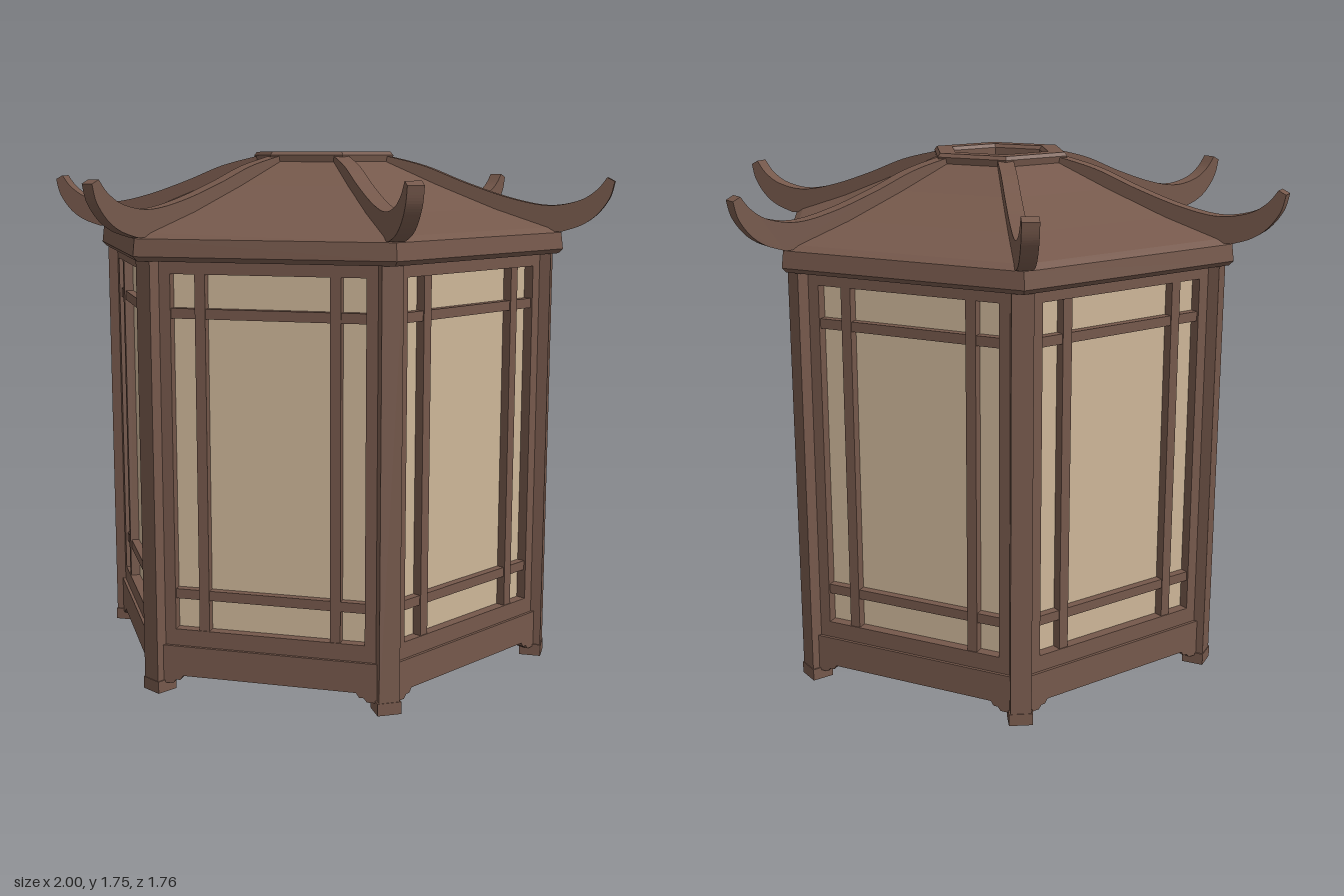
import * as THREE from 'three';

export function createModel() {
  const wood = new THREE.MeshStandardMaterial({ color: 0x75584b });
  wood.name = 'brown wood';
  const paper = new THREE.MeshStandardMaterial({ color: 0xcdb698 });
  paper.name = 'cream paper';

  const lantern = new THREE.Group();
  lantern.name = 'hexagonalLantern';

  const add = (parent, name, geometry, material, x = 0, y = 0, z = 0) => {
    const mesh = new THREE.Mesh(geometry, material);
    mesh.name = name;
    mesh.position.set(x, y, z);
    parent.add(mesh);
    return mesh;
  };
  const vec = ([x, y]) => new THREE.Vector2(x, y);
  // Six-sided ring from a closed counterclockwise profile of [radius, height]
  const hexRing = (profile) => {
    const geo = new THREE.LatheGeometry(profile.map(vec), 6, Math.PI / 2).toNonIndexed();
    geo.computeVertexNormals();
    return geo;
  };
  const extrude = (shape, depth) =>
    new THREE.ExtrudeGeometry(shape, { depth, bevelEnabled: false, curveSegments: 6 });

  // Hollow roof with a thick eave, and the collar round its opening
  add(lantern, 'roof', hexRing([
    [0.70, 1.41], [0.82, 1.41], [0.835, 1.425], [0.828, 1.48], [0.80, 1.497],
    [0.62, 1.557], [0.42, 1.637], [0.23, 1.72], [0.19, 1.70],
    [0.50, 1.57], [0.70, 1.48], [0.70, 1.41],
  ]), wood);
  add(lantern, 'roofCollar', hexRing([
    [0.17, 1.69], [0.24, 1.69], [0.25, 1.735], [0.24, 1.747], [0.18, 1.747], [0.17, 1.735], [0.17, 1.69],
  ]), wood);

  // Roof ridge sweeping out into an upturned horn
  const ridge = new THREE.Shape();
  ridge.moveTo(0.22, 1.735);
  ridge.splineThru([[0.36, 1.70], [0.50, 1.645], [0.65, 1.595], [0.78, 1.57],
    [0.88, 1.585], [0.94, 1.62], [0.975, 1.663]].map(vec));
  ridge.lineTo(1.0, 1.65);
  ridge.splineThru([[0.985, 1.595], [0.945, 1.54], [0.895, 1.505], [0.83, 1.483]].map(vec));
  ridge.lineTo(0.78, 1.485);
  ridge.lineTo(0.60, 1.54);
  ridge.lineTo(0.40, 1.625);
  ridge.lineTo(0.22, 1.69);
  const ridgeGeo = extrude(ridge, 0.052).translate(0, 0, -0.026);

  // Wall board with a window opening
  const wall = new THREE.Shape([[-0.37, 0.1], [0.37, 0.1], [0.37, 1.42], [-0.37, 1.42]].map(vec));
  wall.holes.push(new THREE.Path(
    [[-0.315, 0.215], [-0.315, 1.37], [0.315, 1.37], [0.315, 0.215]].map(vec)));
  const wallGeo = extrude(wall, 0.045);

  // Skirt with stepped brackets beside the feet
  const half = [[0.29, 0.06], [0.30, 0.045], [0.315, 0.045], [0.325, 0.032], [0.372, 0.032], [0.372, 0.16]];
  const skirt = new THREE.Shape([
    ...half, ...half.map(([x, y]) => [-x, y]).reverse(),
  ].map(vec));
  const skirtGeo = extrude(skirt, 0.065);

  const postGeo = new THREE.BoxGeometry(0.066, 1.40, 0.068);
  const footGeo = new THREE.BoxGeometry(0.074, 0.04, 0.078);
  const paperGeo = new THREE.BoxGeometry(0.64, 1.165, 0.008);
  const uprightGeo = new THREE.BoxGeometry(0.034, 1.165, 0.032);
  const crossbarGeo = new THREE.BoxGeometry(0.64, 0.032, 0.028);

  for (let i = 0; i < 6; i++) {
    // Corner: post, foot and ridge
    const corner = new THREE.Group();
    corner.name = 'corner' + (i + 1);
    corner.rotation.y = i * Math.PI / 3;
    add(corner, 'post', postGeo, wood, 0.765, 0.72, 0);
    add(corner, 'foot', footGeo, wood, 0.763, 0.02, 0);
    add(corner, 'roofRidge', ridgeGeo, wood);
    lantern.add(corner);

    // Side: wall, skirt, paper pane and lattice
    const side = new THREE.Group();
    side.name = 'side' + (i + 1);
    side.rotation.y = i * Math.PI / 3;
    add(side, 'wallFrame', wallGeo, wood, 0, 0, 0.632);
    add(side, 'skirt', skirtGeo, wood, 0, 0, 0.622);
    add(side, 'paperPane', paperGeo, paper, 0, 0.7925, 0.639);
    for (const x of [-0.218, 0.218]) add(side, 'latticeUpright', uprightGeo, wood, x, 0.7925, 0.658);
    for (const y of [0.333, 1.246]) add(side, 'latticeCrossbar', crossbarGeo, wood, 0, y, 0.656);
    lantern.add(side);
  }
  return lantern;
}
